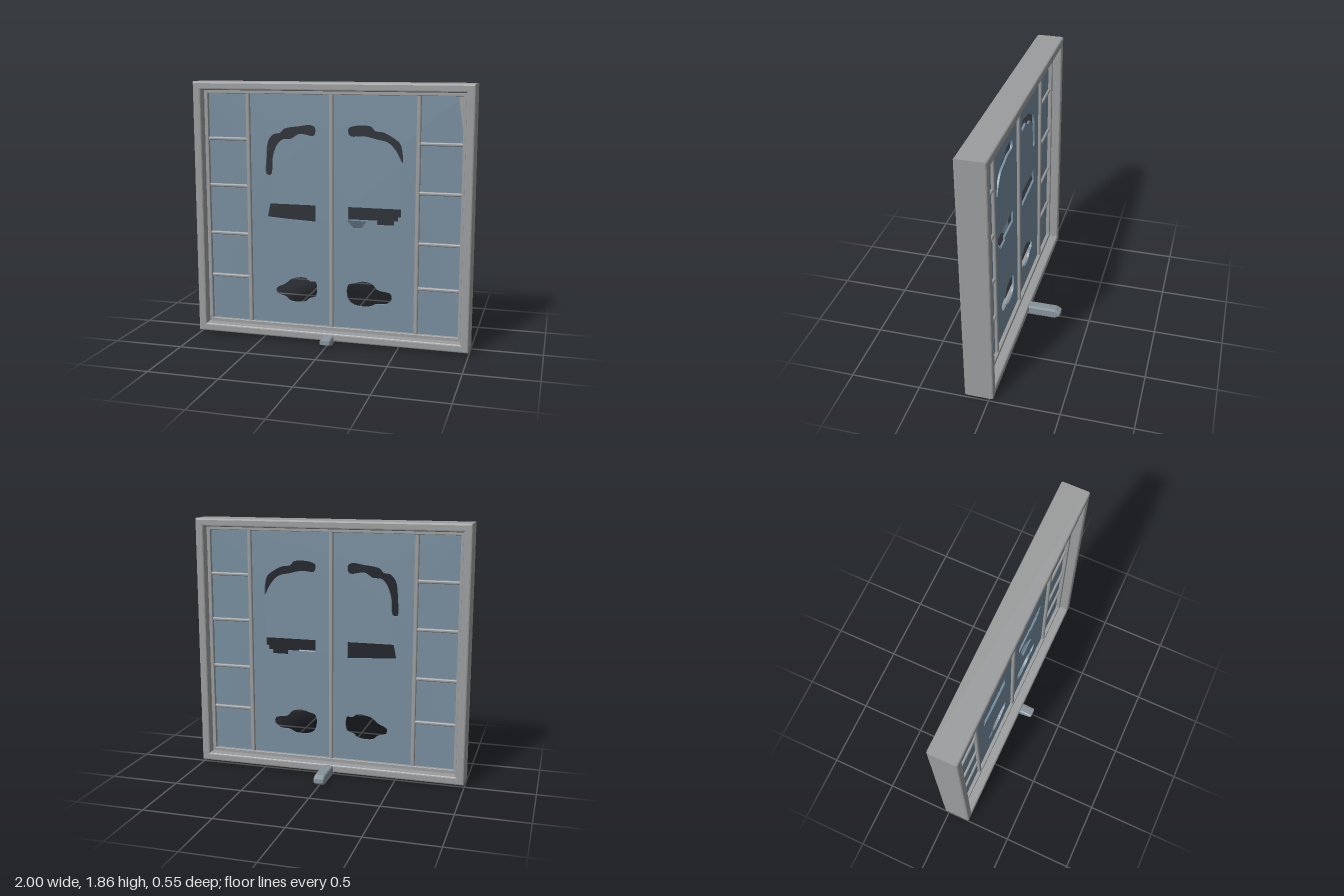
import * as THREE from 'three';
import { RoundedBoxGeometry } from 'three/addons/geometries/RoundedBoxGeometry.js';

const FRONT = 0.17, BACK = -0.035, MID = (FRONT + BACK) / 2;

export function createModel() {
  const model = new THREE.Group();
  const frameGrey = new THREE.MeshStandardMaterial({ color: 0x9a9c9d });
  frameGrey.name = 'frame grey';
  const paneBlue = new THREE.MeshStandardMaterial({ color: 0x768c9d });
  paneBlue.name = 'pane blue';
  const footGrey = new THREE.MeshStandardMaterial({ color: 0x87929a });
  footGrey.name = 'foot grey';

  function add(name, geometry, material, x = 0, y = 0, z = 0) {
    const mesh = new THREE.Mesh(geometry, material);
    mesh.name = name;
    mesh.position.set(x, y, z);
    model.add(mesh);
    return mesh;
  }
  const points = (list) => list.map(([x, y]) => new THREE.Vector2(x, y));
  const rect = (x, y0, y1) => points([[-x, y0], [x, y0], [x, y1], [-x, y1]]);

  // Rectangular ring extruded around the middle plane
  function ring(name, x, y0, y1, border, depth, bevel) {
    const shape = new THREE.Shape(rect(x - bevel, y0 + bevel, y1 - bevel));
    shape.holes.push(new THREE.Path(
      rect(x - border + bevel, y0 + border - bevel, y1 - border + bevel).reverse()));
    const geometry = new THREE.ExtrudeGeometry(shape, {
      depth: depth - 2 * bevel, bevelEnabled: bevel > 0,
      bevelSize: bevel, bevelThickness: bevel, bevelSegments: 3,
    });
    geometry.translate(0, 0, -depth / 2 + bevel);
    add(name, geometry, frameGrey, 0, 0, MID);
  }
  ring('outerFrame', 1, 0.02, 1.86, 0.06, FRONT - BACK, 0.013);
  ring('innerLip', 0.945, 0.075, 1.805, 0.03, 0.07, 0.004);

  // Pane with its cut-outs
  const smooth = (list) => new THREE.CatmullRomCurve3(
    list.map(([x, y]) => new THREE.Vector3(x, y, 0)), true, 'centripetal')
    .getPoints(60).slice(0, -1).map((p) => new THREE.Vector2(p.x, p.y));
  const holes = [
    // upper arcs
    smooth([[-.12, 1.54], [-.15, 1.56], [-.24, 1.55], [-.35, 1.53], [-.38, 1.5], [-.43, 1.49],
      [-.47, 1.44], [-.485, 1.32], [-.485, 1.2], [-.45, 1.2], [-.435, 1.33], [-.4, 1.42],
      [-.36, 1.455], [-.3, 1.46], [-.24, 1.495], [-.13, 1.485]]),
    smooth([[.12, 1.54], [.16, 1.56], [.28, 1.56], [.31, 1.53], [.37, 1.52], [.43, 1.49],
      [.49, 1.44], [.505, 1.31], [.46, 1.39], [.4, 1.45], [.32, 1.47], [.23, 1.49], [.13, 1.49]]),
    // middle slots
    points([[-.46, .99], [-.12, .99], [-.12, .87], [-.33, .88], [-.48, .89]]),
    points([[.12, .99], [.5, .99], [.5, .93], [.48, .93], [.48, .9], [.45, .9], [.45, .87],
      [.33, .87], [.33, .9], [.12, .9]]),
    // lower ovals
    smooth([[-.12, .43], [-.16, .43], [-.2, .455], [-.3, .44], [-.35, .4], [-.42, .36], [-.41, .32],
      [-.35, .3], [-.31, .27], [-.2, .275], [-.17, .3], [-.12, .32]]),
    smooth([[.12, .42], [.17, .44], [.23, .455], [.3, .44], [.34, .4], [.43, .38], [.44, .34],
      [.4, .3], [.33, .295], [.27, .27], [.16, .28], [.12, .32]]),
  ];
  const paneShape = new THREE.Shape(rect(0.95, 0.07, 1.81));
  holes.forEach((h) => paneShape.holes.push(new THREE.Path(h)));
  const pane = new THREE.ExtrudeGeometry(paneShape, { depth: 0.016, bevelEnabled: false });
  add('pane', pane, paneBlue, 0, 0, MID - 0.008);

  // Bent flap below the right-hand slot
  const flapShape = new THREE.Shape(points([[.12, .9], [.26, .9], [.22, .845], [.16, .845]]));
  const flap = new THREE.ExtrudeGeometry(flapShape, { depth: 0.008, bevelEnabled: false });
  const fp = flap.attributes.position;
  for (let i = 0; i < fp.count; i++) fp.setZ(i, fp.getZ(i) + (fp.getY(i) - 0.845) * 0.5);
  flap.computeVertexNormals();
  add('slotFlap', flap, paneBlue, 0, 0, MID + 0.006);

  // Upright and cross glazing bars, showing on both faces
  for (const x of [-0.615, 0, 0.615]) {
    add('uprightBar', new RoundedBoxGeometry(0.03, 1.73, 0.06, 2, 0.01), frameGrey, x, 0.94, MID);
  }
  for (const side of [-1, 1]) {
    for (const y of [0.435, 0.755, 1.11, 1.45]) {
      add('crossBar', new RoundedBoxGeometry(0.32, 0.024, 0.05, 2, 0.009), frameGrey,
        side * 0.775, y, MID);
    }
  }

  // Slanted corner strip
  const strip = new THREE.Shape(points([[.88, 1.79], [.92, 1.5], [.945, 1.5], [.945, 1.79]]));
  add('cornerStrip', new THREE.ExtrudeGeometry(strip, { depth: 0.02, bevelEnabled: false }),
    frameGrey, 0, 0, MID + 0.01);

  // Foot running front to back beneath the frame, with tapered ends
  const footShape = new THREE.Shape(points([[-.2, 0], [.24, 0], [.28, .025], [.28, .055], [.24, .075],
    [-.05, .075], [-.23, .06], [-.27, .055], [-.27, .025]]));
  const foot = new THREE.ExtrudeGeometry(footShape, { depth: 0.05, bevelEnabled: true,
    bevelSize: 0.012, bevelOffset: -0.012, bevelThickness: 0.014, bevelSegments: 2 });
  foot.translate(0, 0, -0.025);
  add('foot', foot, footGrey).rotation.y = Math.PI / 2;

  return model;
}
